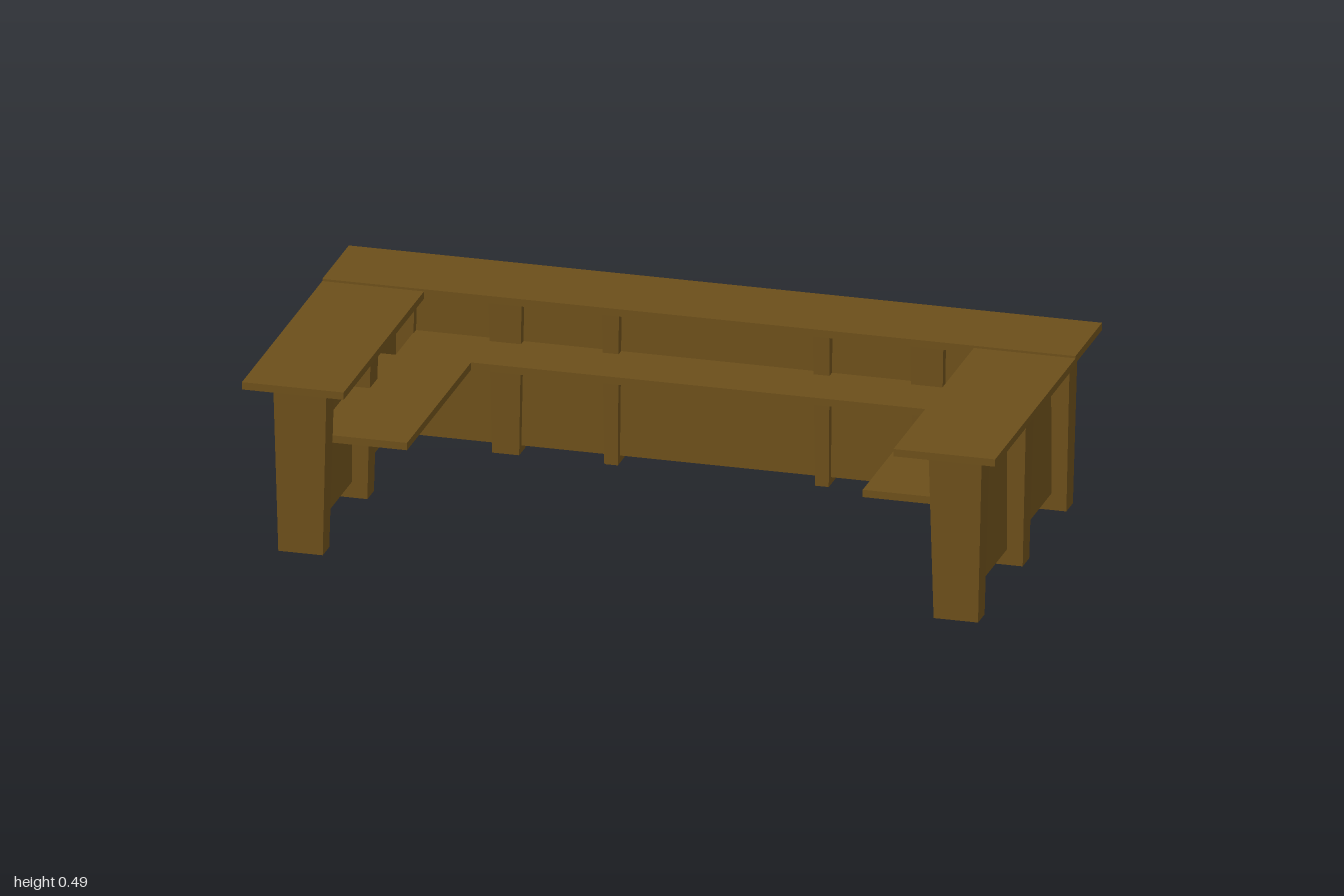
import * as THREE from 'three';

const wood = new THREE.MeshStandardMaterial({ color: 0x6b4e1a, flatShading: true });

// Box given by its extents on each axis
function slab(name, [x0, x1], [y0, y1], [z0, z1]) {
  const mesh = new THREE.Mesh(new THREE.BoxGeometry(x1 - x0, y1 - y0, z1 - z0), wood);
  mesh.position.set((x0 + x1) / 2, (y0 + y1) / 2, (z0 + z1) / 2);
  mesh.name = name;
  return mesh;
}

// Post standing on the floor, narrowing towards its foot
function post(name, x, z, width, depth, height, footWidth, footDepth) {
  const geo = new THREE.BoxGeometry(width, height, depth);
  geo.translate(0, height / 2, 0);
  const p = geo.attributes.position;
  for (let i = 0; i < p.count; i++) {
    if (p.getY(i) < 0.001) {
      p.setX(i, Math.sign(p.getX(i)) * footWidth / 2);
      p.setZ(i, Math.sign(p.getZ(i)) * footDepth / 2);
    }
  }
  geo.computeVertexNormals();
  const mesh = new THREE.Mesh(geo, wood);
  mesh.position.set(x, 0, z);
  mesh.name = name;
  return mesh;
}

export function createModel() {
  const desk = new THREE.Group();
  desk.name = 'counter';

  // Long back section: worktop, wall and the shelf that passes through it
  desk.add(
    slab('backTop', [-1, 1], [0.473, 0.493], [-0.497, -0.25]),
    slab('backPanel', [-0.83, 0.83], [0.02, 0.473], [-0.455, -0.433]),
    slab('backShelf', [-0.805, 0.805], [0.286, 0.306], [-0.497, -0.25]),
  );

  for (const s of [-1, 1]) {
    const span = (a, b) => (s > 0 ? [a, b] : [-b, -a]);
    const wing = new THREE.Group();
    wing.name = s > 0 ? 'leftWing' : 'rightWing';

    // Worktop and lower inner shelf
    wing.add(
      slab('wingTop', span(0.73, 1), [0.467, 0.487], [-0.25, 0.497]),
      slab('wingShelf', span(0.605, 0.87), [0.286, 0.306], [-0.25, 0.345]),
    );

    // Side panels between the legs
    wing.add(
      slab('frontSidePanel', span(0.85, 0.89), [0.046, 0.467], [0, 0.38]),
      slab('rearSidePanel', span(0.85, 0.89), [0.046, 0.47], [-0.44, -0.04]),
    );

    // Wide tapered legs
    for (const [name, z, h] of [['frontLeg', 0.377, 0.467], ['middleLeg', -0.038, 0.467], ['cornerLeg', -0.444, 0.473]]) {
      wing.add(post(name, s * 0.87, z, 0.142, 0.074, h, 0.118, 0.061));
    }
    desk.add(wing);

    // Posts along the back wall
    desk.add(
      post('wideBackPost', s * 0.56, -0.444, 0.09, 0.074, 0.473, 0.072, 0.061),
      post('narrowBackPost', s * 0.28, -0.444, 0.046, 0.074, 0.473, 0.036, 0.061),
    );
  }
  return desk;
}
